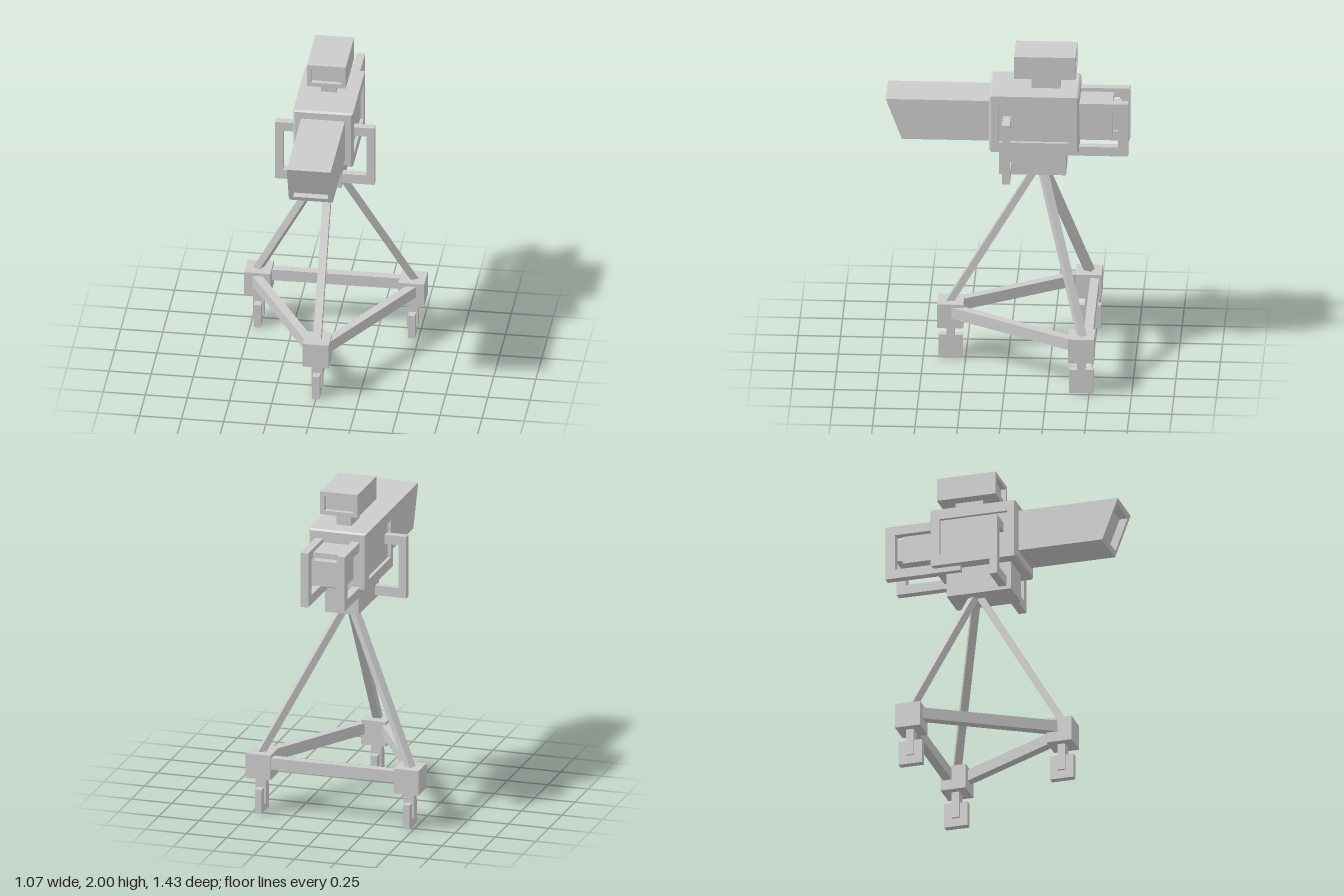
import * as THREE from 'three';

const material = new THREE.MeshStandardMaterial({ color: 0xcccccc, flatShading: true });

function add(parent, name, geometry, x = 0, y = 0, z = 0) {
  const mesh = new THREE.Mesh(geometry, material);
  mesh.name = name;
  mesh.position.set(x, y, z);
  parent.add(mesh);
  return mesh;
}

// Box given by its limits on each axis
function box(parent, name, [x0, x1], [y0, y1], [z0, z1]) {
  const geometry = new THREE.BoxGeometry(x1 - x0, y1 - y0, z1 - z0);
  return add(parent, name, geometry, (x0 + x1) / 2, (y0 + y1) / 2, (z0 + z1) / 2);
}

// Rectangular ring across z; zTop differs from z for a slanted cut
const ring = (w, h, z, zTop = z) => [
  [-w / 2, -h / 2, z], [w / 2, -h / 2, z], [w / 2, h / 2, zTop], [-w / 2, h / 2, zTop],
];

// Skin over successive rings, closed at both ends
function loft(rings) {
  const points = [];
  const quad = (a, b, c, d) => points.push(...a, ...b, ...c, ...a, ...c, ...d);
  for (let k = 0; k < rings.length - 1; k++) {
    for (let i = 0; i < 4; i++) {
      const j = (i + 1) % 4;
      quad(rings[k][i], rings[k][j], rings[k + 1][j], rings[k + 1][i]);
    }
  }
  quad(...[...rings[0]].reverse());
  quad(...rings[rings.length - 1]);
  const geometry = new THREE.BufferGeometry();
  geometry.setAttribute('position', new THREE.Float32BufferAttribute(points, 3));
  geometry.computeVertexNormals();
  return geometry;
}

// Box with a sunken panel in both z ends
function recessedBox(w, h, l, innerW, innerH, depth) {
  const e = l / 2;
  return loft([
    ring(innerW, innerH, -e + depth), ring(innerW, innerH, -e), ring(w, h, -e),
    ring(w, h, e), ring(innerW, innerH, e), ring(innerW, innerH, e - depth),
  ]);
}

// Square bar between two points
function bar(parent, name, from, to, width, depth) {
  const geometry = new THREE.BoxGeometry(width, depth, from.distanceTo(to));
  const mesh = add(parent, name, geometry);
  mesh.position.copy(from).add(to).multiplyScalar(0.5);
  mesh.lookAt(to);
  return mesh;
}

export function createModel() {
  const model = new THREE.Group();
  model.name = 'studioCamera';
  const midY = 1.59;

  // Camera body with sunken side panels and chamfered ends
  const body = recessedBox(0.505, 0.36, 0.354, 0.415, 0.232, 0.02);
  body.rotateY(Math.PI / 2);
  add(model, 'cameraBody', body, 0, midY, -0.16);
  add(model, 'bodyFrontEdge', loft([ring(0.354, 0.36, 0.0925), ring(0.334, 0.34, 0.104)]), 0, midY, 0);
  add(model, 'bodyRearEdge', loft([ring(0.334, 0.34, -0.424), ring(0.354, 0.36, -0.4125)]), 0, midY, 0);

  // Lens hood with a slanted, hollowed mouth
  add(model, 'lensHood', loft([
    ring(0.26, 0.256, 0.09), ring(0.26, 0.256, 0.62, 0.715),
    ring(0.208, 0.202, 0.63, 0.705), ring(0.208, 0.202, 0.58, 0.655),
  ]), 0, midY, 0);

  // Eyepiece at the back
  box(model, 'eyepieceBase', [-0.1, 0.1], [1.487, 1.693], [-0.617, -0.41]);
  box(model, 'eyepiece', [-0.072, 0.072], [1.52, 1.66], [-0.667, -0.61]);

  // Viewfinder on its post
  box(model, 'viewfinderPost', [-0.045, 0.045], [1.76, 1.865], [-0.31, -0.14]);
  add(model, 'viewfinder', recessedBox(0.23, 0.142, 0.362, 0.176, 0.092, 0.03), 0, 1.929, -0.221);

  // Mount under the body
  box(model, 'mount', [-0.103, 0.103], [1.235, 1.415], [-0.345, 0.05]);

  for (const side of [-1, 1]) {
    const prefix = side > 0 ? 'left' : 'right';
    const span = (a, b) => (side > 0 ? [a, b] : [-b, -a]);

    // Rear handle, a loop round the eyepiece
    const handle = new THREE.Group();
    handle.name = prefix + 'RearHandle';
    const hx = span(0.088, 0.137);
    box(handle, 'handleTop', hx, [1.66, 1.716], [-0.712, -0.41]);
    box(handle, 'handleGrip', hx, [1.38, 1.716], [-0.712, -0.653]);
    box(handle, 'handleBottom', hx, [1.38, 1.437], [-0.712, -0.25]);
    model.add(handle);

    // Side bracket joining body and mount
    const bracket = new THREE.Group();
    bracket.name = prefix + 'SideBracket';
    const bz = [-0.024, 0.023];
    box(bracket, 'bracketTop', span(0.16, 0.295), [1.58, 1.636], bz);
    box(bracket, 'bracketUpright', span(0.248, 0.295), [1.255, 1.636], bz);
    box(bracket, 'bracketBottom', span(0.09, 0.295), [1.255, 1.315], bz);
    model.add(bracket);
  }

  // Three tripod legs with corner blocks, casters and braces
  const centreZ = -0.19;
  const names = ['front', 'backLeft', 'backRight'];
  names.forEach((name, i) => {
    const angle = (i * Math.PI * 2) / 3;
    const dirX = Math.sin(angle);
    const dirZ = Math.cos(angle);
    const at = (r, y) => new THREE.Vector3(dirX * r, y, centreZ + dirZ * r);
    bar(model, name + 'Leg', at(0, 1.285), at(0.55, 0.335), 0.047, 0.042);

    const { x, z } = at(0.528, 0);
    box(model, name + 'CornerBlock', [x - 0.077, x + 0.077], [0.217, 0.37], [z - 0.077, z + 0.077]);
    box(model, name + 'CasterFork', [x - 0.033, x + 0.033], [0.052, 0.225], [z - 0.024, z + 0.024]);
    box(model, name + 'CasterWheel', [x - 0.021, x + 0.021], [0, 0.15], [z - 0.072, z + 0.072]);

    // Brace opposite this leg
    const brace = add(model, name + 'OppositeBrace', new THREE.BoxGeometry(0.9, 0.07, 0.053));
    brace.position.copy(at(-0.3, 0.315));
    brace.rotation.y = angle;
  });

  return model;
}
